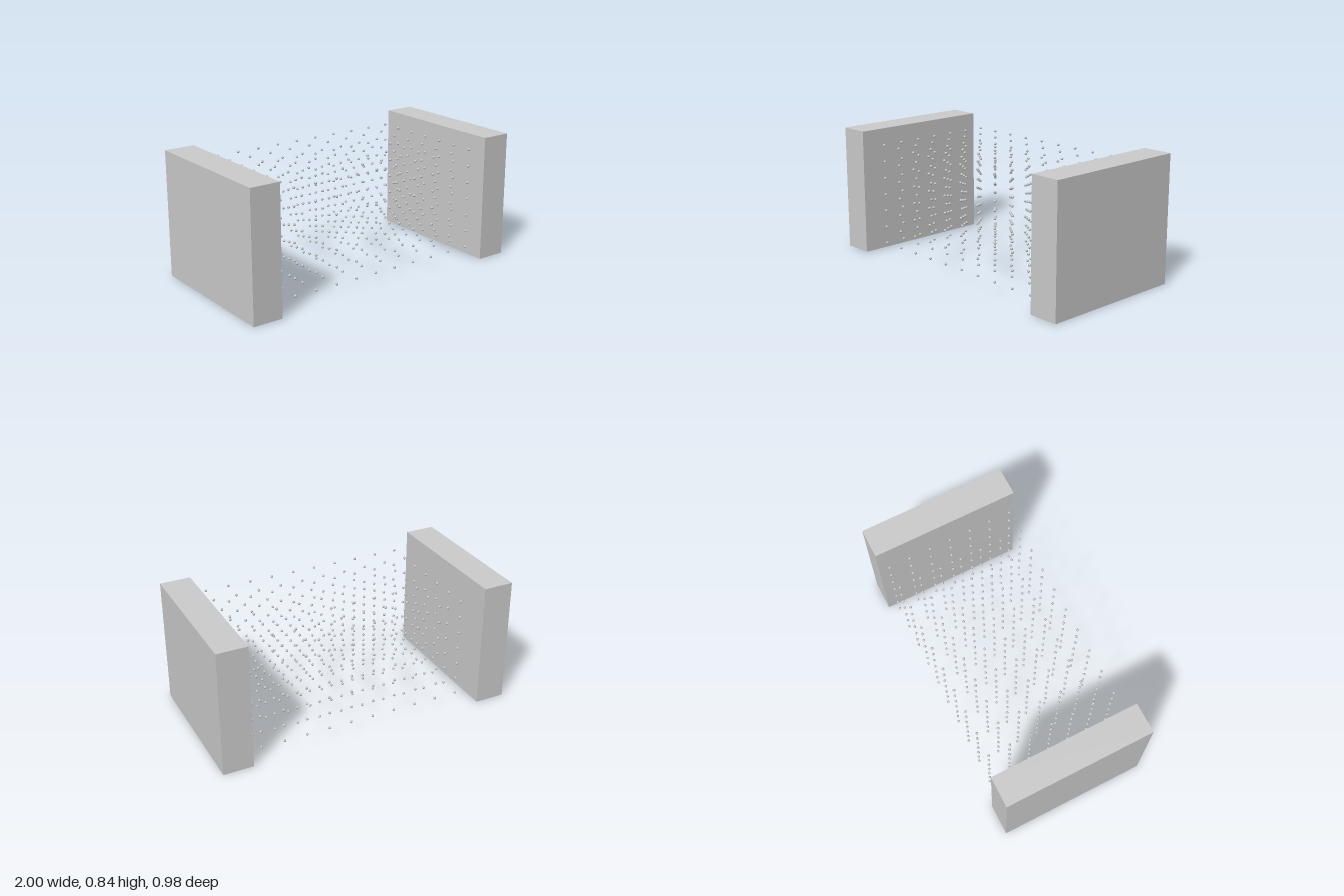
import * as THREE from 'three';

export function createModel() {
  const model = new THREE.Group();
  model.name = 'platesWithParticles';
  const grey = new THREE.MeshStandardMaterial({ color: 0xcccccc });

  // Two facing upright slabs
  const slab = new THREE.BoxGeometry(0.2, 0.84, 0.984);
  for (const side of [-1, 1]) {
    const plate = new THREE.Mesh(slab, grey);
    plate.name = side > 0 ? 'leftPlate' : 'rightPlate';
    plate.position.set(side * 0.9, 0.42, 0);
    model.add(plate);
  }

  // Regular lattice of tiny balls between the slabs
  const lattice = new THREE.Group();
  lattice.name = 'particleLattice';
  const ball = new THREE.SphereGeometry(0.009, 8, 6);
  const count = [10, 7, 7];
  const start = [-0.659, 0.083, -0.437];
  const step = [0.1538, 0.1128, 0.143];
  for (let i = 0; i < count[0]; i++) {
    for (let j = 0; j < count[1]; j++) {
      for (let k = 0; k < count[2]; k++) {
        const particle = new THREE.Mesh(ball, grey);
        particle.name = 'particle';
        particle.position.set(...[i, j, k].map((n, axis) => start[axis] + n * step[axis]));
        lattice.add(particle);
      }
    }
  }
  model.add(lattice);
  return model;
}
